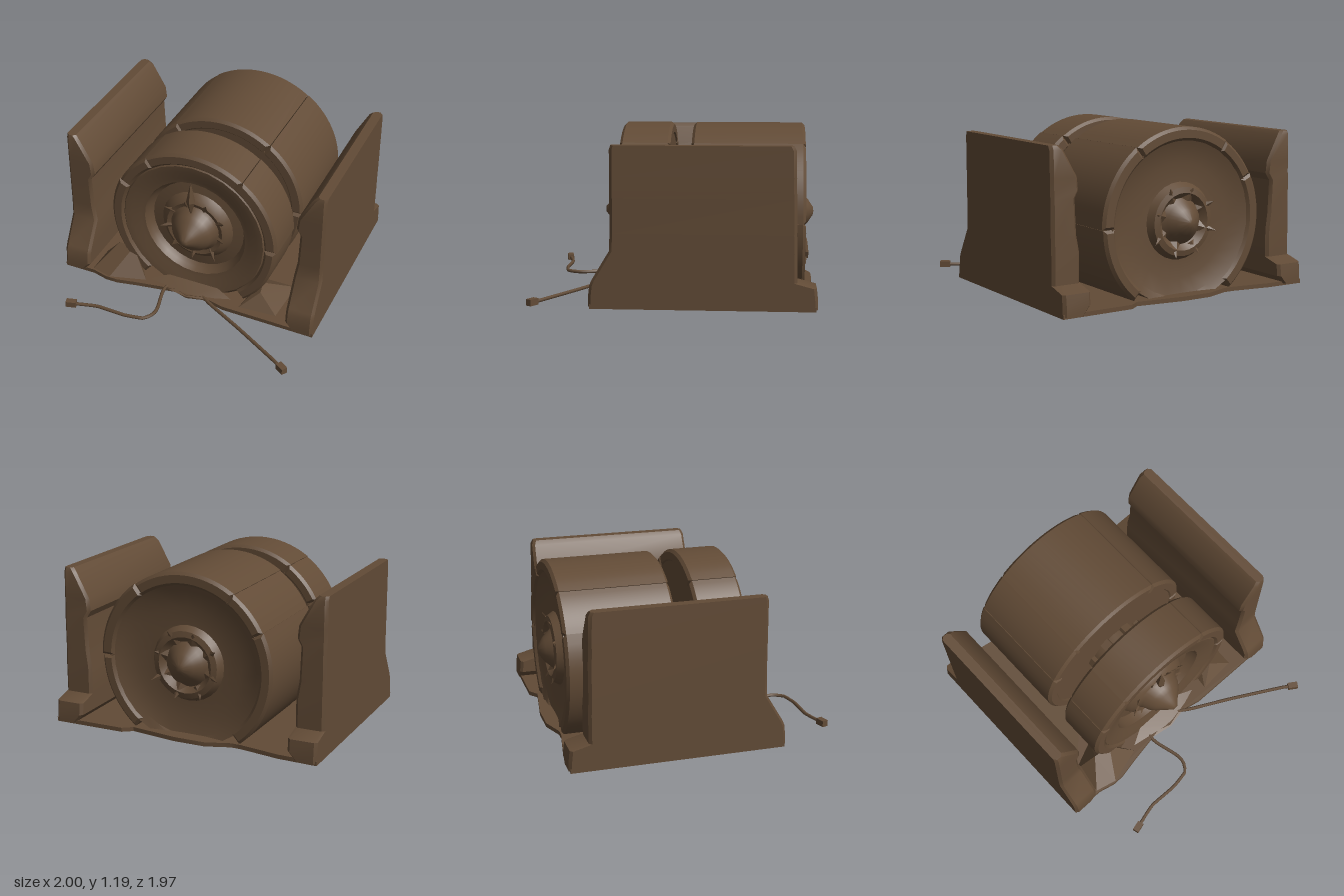
import * as THREE from 'three';
import { toCreasedNormals } from 'three/addons/utils/BufferGeometryUtils.js';
import { ConvexGeometry } from 'three/addons/geometries/ConvexGeometry.js';

const AXIS_Y = 0.54;

export function createModel() {
  const model = new THREE.Group();
  const brown = new THREE.MeshStandardMaterial({ color: 0x624b36 });
  brown.name = 'darkBrown';

  const add = (name, geometry, crease = 0.6) => {
    const mesh = new THREE.Mesh(toCreasedNormals(geometry, crease), brown);
    mesh.name = name;
    model.add(mesh);
    return mesh;
  };

  // Base plate with an uneven outline (x, z)
  const outline = [[-1, 0.55], [-0.76, 0.55], [-0.64, 0.58], [-0.55, 0.58], [-0.4, 0.55], [-0.1, 0.5],
    [0, 0.53], [0.12, 0.5], [0.3, 0.54], [1, 0.55], [1, -0.97], [0.47, -0.97], [0.4, -0.92], [0.05, -0.97],
    [-0.18, -0.97], [-0.35, -0.91], [-0.42, -0.91], [-0.72, -0.96], [-1, -0.97]];
  const plate = new THREE.ExtrudeGeometry(
    new THREE.Shape(outline.map(([x, z]) => new THREE.Vector2(x, -z))), { depth: 0.03, bevelEnabled: false });
  plate.rotateX(-Math.PI / 2).translate(0, 0.008, 0);
  add('basePlate', plate);

  // Thin lower skin under the middle of the plate
  const skin = new THREE.BoxGeometry(1.2, 0.01, 1.3);
  skin.translate(0, 0.005, -0.2);
  add('baseUnderside', skin);

  // Side walls: stacked sections of [y, inner x, back z, front z]
  const sections = [[0.02, 0.84, -0.98, 0.56], [0.08, 0.79, -0.98, 0.56], [0.165, 0.79, -0.97, 0.55],
    [0.2, 0.79, -0.84, 0.535], [0.4, 0.79, -0.84, 0.415], [0.52, 0.81, -0.835, 0.41], [0.76, 0.82, -0.835, 0.41],
    [0.81, 0.79, -0.83, 0.41], [0.9, 0.8, -0.83, 0.41], [1.08, 0.9, -0.825, 0.41], [1.11, 0.93, -0.81, 0.4]];
  const wallGeometry = (side) => {
    const positions = [], index = [], c = 0.02;
    for (const [y, x0, z0, z1] of sections) {
      const x1 = 1;
      const ring = [[x1 - c, z1], [x1, z1 - c], [x1, z0 + c], [x1 - c, z0],
        [x0 + c, z0], [x0, z0 + c], [x0, z1 - c], [x0 + c, z1]];
      if (side < 0) ring.reverse();
      for (const [x, z] of ring) positions.push(x * side, y, z);
    }
    const n = 8, top = (sections.length - 1) * n;
    for (let s = 0; s < sections.length - 1; s++) {
      for (let i = 0; i < n; i++) {
        const a = s * n + i, b = s * n + (i + 1) % n;
        index.push(a, b, b + n, a, b + n, a + n);
      }
    }
    for (let i = 1; i < n - 1; i++) index.push(0, i + 1, i, top, top + i, top + i + 1);
    const g = new THREE.BufferGeometry();
    g.setAttribute('position', new THREE.Float32BufferAttribute(positions, 3));
    g.setIndex(index);
    return g;
  };
  add('leftWall', wallGeometry(1), 0.5);
  add('rightWall', wallGeometry(-1), 0.5);

  // Wheels: lathed along z, flattened where they meet the base
  const wheel = (name, profile) => {
    const g = new THREE.LatheGeometry(profile.map(([r, z]) => new THREE.Vector2(r, z)), 28);
    g.rotateX(Math.PI / 2).translate(0, AXIS_Y, 0);
    const p = g.attributes.position;
    for (let i = 0; i < p.count; i++) p.setY(i, Math.max(p.getY(i), 0.02));
    add(name, g, 0.7);
  };
  wheel('frontWheel', [[0, 0.06], [0.58, 0.06], [0.58, 0.37], [0.55, 0.4], [0.5, 0.395], [0.43, 0.375],
    [0.4, 0.37], [0.385, 0.33], [0.36, 0.3], [0.28, 0.31], [0.25, 0.35], [0.22, 0.37], [0.19, 0.36],
    [0.17, 0.38], [0.15, 0.43], [0.12, 0.465], [0.07, 0.51], [0.025, 0.555], [0, 0.56]]);
  wheel('rearWheel', [[0, -0.98], [0.03, -0.975], [0.09, -0.935], [0.13, -0.89], [0.16, -0.86], [0.2, -0.9],
    [0.24, -0.89], [0.27, -0.84], [0.4, -0.84], [0.52, -0.87], [0.58, -0.895], [0.58, -0.11], [0, -0.11]]);

  // Axle between the wheels, with ribs
  const axle = new THREE.CylinderGeometry(0.23, 0.23, 0.2, 16);
  axle.rotateX(Math.PI / 2).translate(0, AXIS_Y, -0.025);
  add('axle', axle);
  for (let i = 0; i < 8; i++) {
    const rib = new THREE.BoxGeometry(0.07, 0.06, 0.17);
    rib.translate(0, 0.23, 0).rotateZ((i + 0.5) * Math.PI / 4).translate(0, AXIS_Y, -0.025);
    add('axleRib', rib);
  }

  // Curved rim plates, separated by narrow slits: [start, end, outer radius]
  const arcs = [[-51, -1, 0.645], [0.5, 53.5, 0.655], [55, 124, 0.65], [124.5, 152.5, 0.645], [153.5, 231, 0.65]];
  const bands = [['frontRimPlate', 0.05, 0.41], ['rearRimPlate', -0.905, -0.1]];
  const bevel = 0.02;
  for (const [name, z0, z1] of bands) {
    for (const [from, to, radius] of arcs) {
      const a = THREE.MathUtils.degToRad(from + 1.2), b = THREE.MathUtils.degToRad(to - 1.2);
      const shape = new THREE.Shape();
      shape.absarc(0, 0, radius - bevel, a, b, false);
      shape.absarc(0, 0, 0.575, b, a, true);
      const g = new THREE.ExtrudeGeometry(shape, { depth: z1 - z0 - 2 * bevel, curveSegments: 8,
        bevelThickness: bevel, bevelSize: bevel, bevelSegments: 1 });
      g.translate(0, AXIS_Y, z0 + bevel);
      add(name, g, 0.5);
    }
  }

  // Ragged teeth round both hubs
  const teeth = (name, count, z, tilt) => {
    for (let i = 0; i < count; i++) {
      const g = new THREE.ConeGeometry(0.05, 0.1 + 0.03 * (i % 3), 4);
      g.scale(1, 1, 0.5).rotateX(tilt).translate(0, 0.2 + 0.015 * (i % 2), z);
      g.rotateZ(i * 2 * Math.PI / count + 0.3).translate(0, AXIS_Y, 0);
      add(name, g, 0.3);
    }
  };
  teeth('frontHubTooth', 9, 0.36, 0.5);
  teeth('rearHubTooth', 8, -0.885, -0.5);

  // Upright blade above the front hub
  const spike = new THREE.ConeGeometry(0.035, 0.17, 5);
  spike.translate(-0.01, 0.885, 0.4);
  add('bladeTip', spike, 0.3);
  const spikeRoot = new THREE.ConeGeometry(0.035, 0.12, 5);
  spikeRoot.rotateZ(Math.PI).translate(-0.01, 0.74, 0.4);
  add('bladeRoot', spikeRoot, 0.3);

  // Mounds packed against the front wheel
  const mound = (name, points) => add(name, new ConvexGeometry(points.map((p) => new THREE.Vector3(...p))), 0.4);
  mound('rightMound', [[-0.78, 0.03, 0.54], [-0.62, 0.03, 0.58], [-0.34, 0.03, 0.5], [-0.63, 0.21, 0.36],
    [-0.5, 0.22, 0.38], [-0.78, 0.03, 0.3], [-0.55, 0.03, 0.2]]);
  mound('leftMound', [[0.7, 0.03, 0.48], [0.4, 0.03, 0.5], [0.54, 0.15, 0.4], [0.52, 0.16, 0.3],
    [0.72, 0.03, 0.1], [0.45, 0.03, 0.1]]);
  mound('frontMound', [[-0.35, 0.03, 0.48], [-0.16, 0.03, 0.5], [0.2, 0.03, 0.5], [0.35, 0.03, 0.45],
    [-0.2, 0.07, 0.4], [0.2, 0.07, 0.4], [0, 0.03, 0.54]]);

  // Two cords lying on the ground, each ending in a plug
  const cord = (name, points) => {
    const path = points.map(([x, z]) => new THREE.Vector3(x, 0.03, z));
    const curve = new THREE.CatmullRomCurve3(path, false, 'catmullrom', 0.2);
    add(name, new THREE.TubeGeometry(curve, 30, 0.013, 6), 1.2);
    const end = path[path.length - 1], prev = path[path.length - 2];
    const plug = new THREE.BoxGeometry(0.045, 0.045, 0.075);
    plug.rotateY(Math.atan2(end.x - prev.x, end.z - prev.z)).translate(end.x, 0.033, end.z);
    add(name + 'Plug', plug);
  };
  cord('rightCord', [[-0.15, 0.42], [-0.18, 0.5], [-0.175, 0.57], [-0.13, 0.74], [-0.13, 0.81], [-0.175, 0.88],
    [-0.32, 0.905], [-0.54, 0.9], [-0.73, 0.95]]);
  cord('leftCord', [[0.08, 0.46], [0.2, 0.54], [0.5, 0.7], [0.85, 0.9], [0.925, 0.95]]);

  return model;
}
